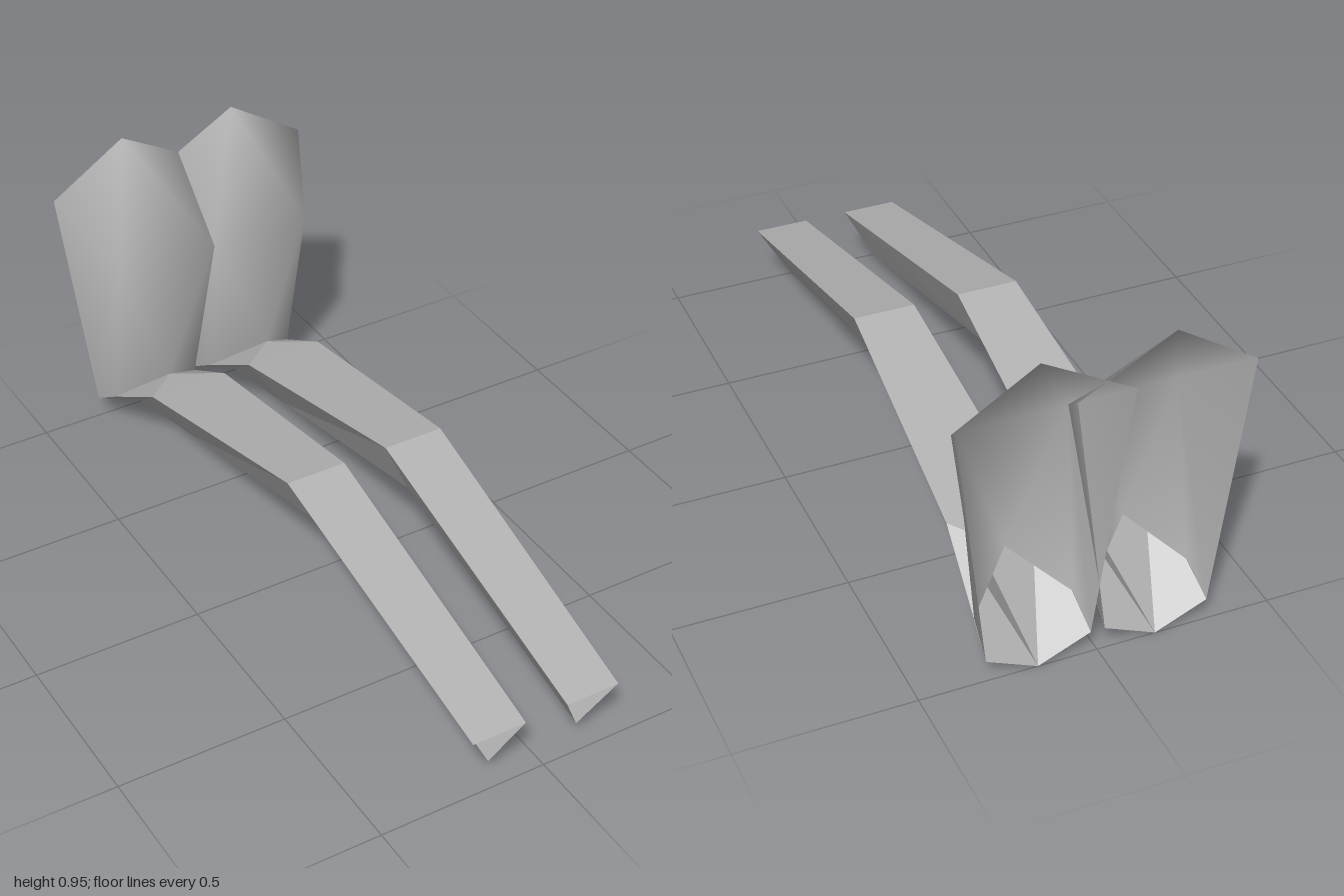
import * as THREE from 'three';

const grey = new THREE.MeshStandardMaterial({ color: 0xb2b2b2, side: THREE.DoubleSide });
grey.name = 'plain grey';

// Named corners of the back cup, shared with the leg where they join
const P = {
  top: [0.182, 0.955, -1], outer: [0.412, 0.81, -1], inner: [-0.08, 0.81, -1],
  lowOuter: [0.315, 0.065, -1], lowInner: [0.02, 0.065, -1], bottom: [0.168, 0, -1],
  frontOuter: [0.31, 0.64, -0.785], frontInner: [0, 0.64, -0.785], apex: [0.17, 0.236, -0.785],
  seamOuter: [0.305, 0.128, -0.9], seamInner: [0.027, 0.128, -0.9],
  hipOuter: [0.285, 0.262, -0.67], hipInner: [0.042, 0.262, -0.67],
};

// Triangles facing outwards; side -1 mirrors them across x = 0
function surface(name, triangles, side, smooth) {
  const points = [], index = [], seen = new Map();
  for (const tri of triangles) {
    const corners = side > 0 ? tri : [tri[0], tri[2], tri[1]];
    for (const c of corners) {
      if (!seen.has(c)) {
        seen.set(c, points.length / 3);
        points.push(c[0] * side, c[1], c[2]);
      }
      index.push(seen.get(c));
    }
  }
  let geometry = new THREE.BufferGeometry();
  geometry.setAttribute('position', new THREE.Float32BufferAttribute(points, 3));
  geometry.setIndex(index);
  if (!smooth) geometry = geometry.toNonIndexed();
  geometry.computeVertexNormals();
  const mesh = new THREE.Mesh(geometry, grey);
  mesh.name = name;
  return mesh;
}

// Hollow cup, open at the back, tapering to a triangular front
function cupTriangles() {
  return [
    [P.frontOuter, P.frontInner, P.apex],
    [P.top, P.frontInner, P.frontOuter],
    [P.outer, P.top, P.frontOuter],
    [P.top, P.inner, P.frontInner],
    [P.frontInner, P.inner, P.lowInner],
    [P.frontInner, P.lowInner, P.seamInner],
    [P.frontInner, P.seamInner, P.apex],
    [P.outer, P.frontOuter, P.lowOuter],
    [P.frontOuter, P.seamOuter, P.lowOuter],
    [P.frontOuter, P.apex, P.seamOuter],
  ];
}

// Bent three-sided tube, open at both ends; sections run front to back
function legTriangles() {
  const sections = [
    [[0.227, 0.182, 1], [0.065, 0.182, 1], [0.14, 0.036, 0.945]],
    [[0.248, 0.425, 0.085], [0.067, 0.425, 0.085], [0.15, 0.243, 0.07]],
    [P.hipOuter, P.hipInner, [0.162, 0.075, -0.67]],
    [P.lowOuter, P.lowInner, P.bottom],
  ];
  const triangles = [];
  const quad = (a, b, c, d) => triangles.push([a, b, c], [a, c, d]);
  for (let i = 0; i < 3; i++) {
    const [ao, ai, ak] = sections[i], [bo, bi, bk] = sections[i + 1];
    if (i < 2) quad(ao, bo, bi, ai);
    quad(ao, ak, bk, bo);
    quad(ai, bi, bk, ak);
  }
  // Hip top, folding up into the cup
  triangles.push(
    [P.hipOuter, P.apex, P.hipInner],
    [P.hipOuter, P.seamOuter, P.apex],
    [P.hipInner, P.apex, P.seamInner],
  );
  return triangles;
}

export function createModel() {
  const model = new THREE.Group();
  model.name = 'legs with back cups';
  for (const [label, side] of [['left', 1], ['right', -1]]) {
    const half = new THREE.Group();
    half.name = label + 'Half';
    half.add(surface(label + 'Cup', cupTriangles(), side, true));
    half.add(surface(label + 'Leg', legTriangles(), side, false));
    model.add(half);
  }
  return model;
}
